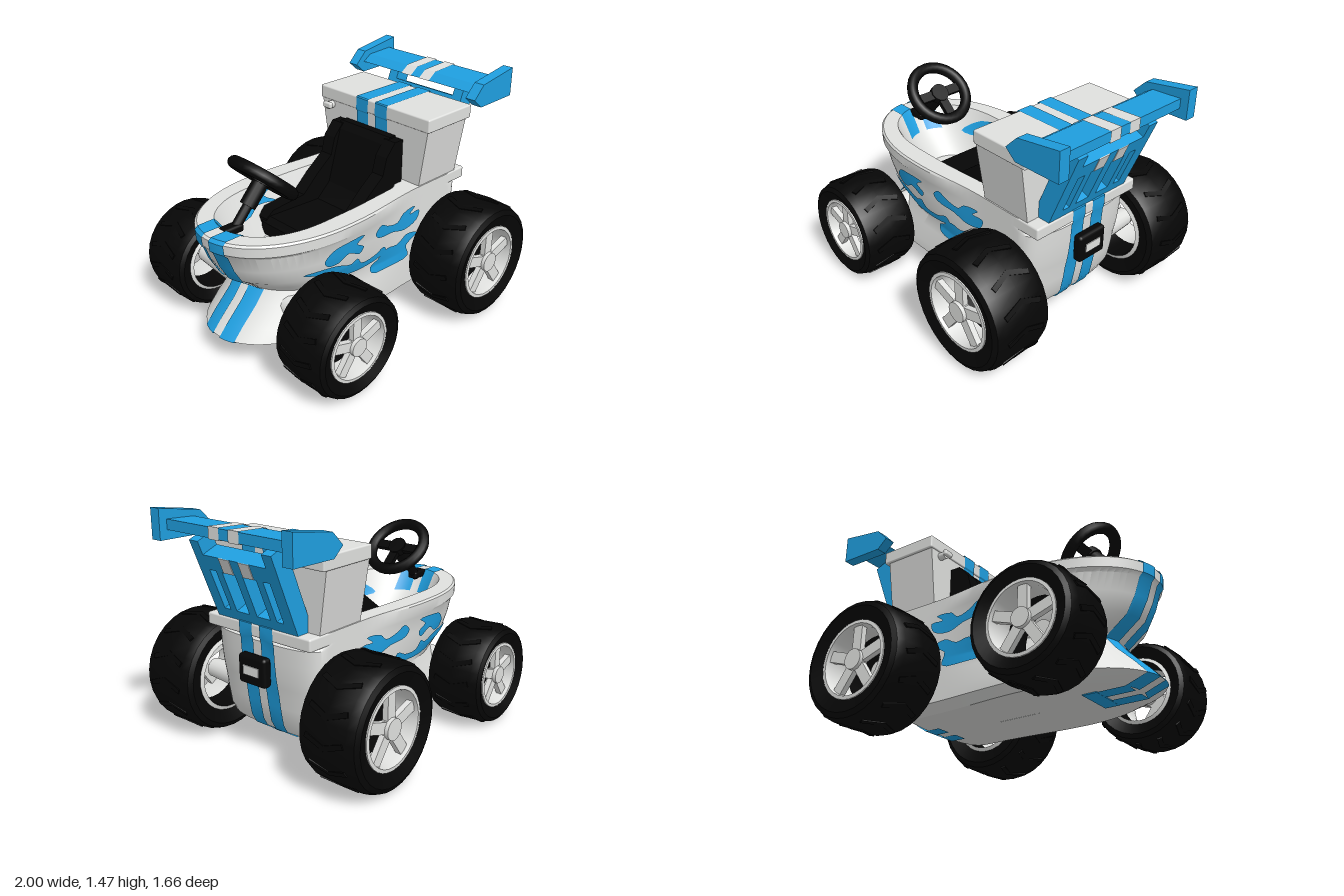
import * as THREE from 'three';
import { toCreasedNormals } from 'three/addons/utils/BufferGeometryUtils.js';
import { RoundedBoxGeometry } from 'three/addons/geometries/RoundedBoxGeometry.js';

const paint = (name, color) => {
  const m = new THREE.MeshStandardMaterial({ color, side: THREE.DoubleSide });
  m.name = name;
  return m;
};

// Hull rings from bottom to rim: [y, nose x, rear x, half width]
const OUTER = [
  [0.14, -0.85, 0.56, 0.36], [0.185, -0.975, 0.635, 0.42], [0.25, -0.91, 0.67, 0.42], [0.36, -0.80, 0.69, 0.395],
  [0.44, -0.74, 0.70, 0.385], [0.49, -0.80, 0.71, 0.40], [0.55, -0.88, 0.72, 0.415], [0.65, -0.935, 0.73, 0.43],
  [0.75, -0.97, 0.735, 0.44], [0.77, -0.99, 0.70, 0.45], [0.83, -0.995, 0.70, 0.45], [0.842, -0.98, 0.69, 0.44],
];
// Flat underside, from the middle outwards
const UNDERSIDE = [[0.14, -0.2, 0.1, 0.001], [0.14, -0.83, 0.54, 0.345]];
// Basin rings from rim down to floor
const INNER = [[0.842, -0.88, 0.28, 0.32], [0.82, -0.865, 0.27, 0.31], [0.70, -0.79, 0.25, 0.265], [0.56, -0.62, 0.2, 0.2]];

// Half width of a ring at x: rounded nose, even width towards a square rear
function halfWidth([, nose, rear, w], x) {
  const s = Math.min(1, Math.max(0, (x - nose) / ((rear - nose) * 0.41)));
  const r = Math.min(1, Math.max(0, (rear - x) / 0.14));
  const rearWidth = w > 0.37 ? 0.4 : w * 0.92;
  return THREE.MathUtils.lerp(w, rearWidth, THREE.MathUtils.smoothstep(x, -0.25, 0.3))
    * Math.sqrt(1 - (1 - s) ** 2.2) * Math.cbrt(1 - (1 - r) ** 3);
}
const noseX = ([, nose, rear, w], z) =>
  nose + (rear - nose) * 0.41 * (1 - (1 - (z / w) ** 2) ** (1 / 2.2));

function ringAt(rings, y) {
  for (let i = 0; i < rings.length - 1; i++) {
    const a = rings[i], b = rings[i + 1], t = (y - a[0]) / (b[0] - a[0]);
    if (t >= 0 && t <= 1) return a.map((v, k) => v + (b[k] - v) * t);
  }
  return rings[rings.length - 1];
}

export function createModel() {
  const root = new THREE.Group();
  root.name = 'bathroomKart';
  const white = paint('porcelain', 0xe0e1df), blue = paint('racingBlue', 0x1f9fe0), black = paint('rubberBlack', 0x060606);

  const add = (name, geo, mat, parent = root, pos = [0, 0, 0]) => {
    const m = new THREE.Mesh(geo, mat);
    m.name = name;
    m.position.set(...pos);
    parent.add(m);
    return m;
  };
  const box = (name, size, pos, mat, parent) => add(name, new THREE.BoxGeometry(...size), mat, parent, pos);
  const rounded = (name, size, r, pos, mat) => add(name, new RoundedBoxGeometry(...size, 2, r), mat, root, pos);

  // Grid surface placed by f(column, row)
  const sheet = (name, nu, nv, f, mat) => {
    const g = new THREE.PlaneGeometry(1, 1, nu, nv), p = g.attributes.position;
    for (let i = 0; i < p.count; i++) p.setXYZ(i, ...f(i % (nu + 1), Math.floor(i / (nu + 1))));
    return add(name, toCreasedNormals(g, 0.5), mat);
  };
  // Pair of stripes along an xy path
  const stripes = (name, path, mat, z0 = 0.03, z1 = 0.13) => {
    for (const s of [-1, 1])
      sheet(name, 1, path.length - 1, (i, j) => [...path[j], s * (i ? z1 : z0)], mat);
  };
  // Side profile extruded from z0 to z1
  const slab = (name, pts, z0, z1, mat) => {
    const shape = new THREE.Shape(pts.map((p) => new THREE.Vector2(...p)));
    return add(name, new THREE.ExtrudeGeometry(shape, { depth: z1 - z0, bevelEnabled: false }), mat, root, [0, 0, z0]);
  };

  // Hull with basin
  const rings = [...UNDERSIDE, ...OUTER, ...INNER, [0.56, -0.2, -0.1, 0.001]];
  const N = 96;
  sheet('hull', N, rings.length - 1, (i, j) => {
    const a = (i / N) * Math.PI * 2, r = rings[j];
    const x = r[1] + (r[2] - r[1]) * (1 - Math.cos(a)) / 2;
    return [x, r[0], (i % N === 0 || i === N / 2 ? 0 : -Math.sign(Math.sin(a))) * halfWidth(r, x)];
  }, white);

  // Nose stripes follow the hull, over the rim and into the basin
  const noseRings = [...OUTER, ...INNER.slice(0, 3)];
  for (const s of [-1, 1])
    sheet('noseStripe', 6, noseRings.length - 1, (i, j) => {
      const z = s * (0.03 + 0.1 * i / 6), r = noseRings[j];
      const a = noseRings[Math.max(0, j - 1)], b = noseRings[Math.min(noseRings.length - 1, j + 1)];
      const n = new THREE.Vector2(a[0] - b[0], b[1] - a[1]).normalize().multiplyScalar(0.007);
      return [noseX(r, z) + n.x, r[0] + n.y, z];
    }, blue);
  // Stripes run on below the foot and join there
  stripes('noseUnderStripe', [[-0.83, 0.134], [-0.58, 0.134]], blue);
  box('noseUnderJoin', [0.09, 0.006, 0.26], [-0.6, 0.136, 0], blue);
  stripes('rearStripe', [[0.46, 0.134], ...OUTER.slice(0, 9).map((r) => [r[2] + 0.007, r[0] - (r[0] < 0.15 ? 0.005 : 0)]),
    [0.75, 0.775], [0.75, 0.846], [0.66, 0.85]], blue);
  sheet('rearStripeJoin', 1, 1, (i, j) => [j ? 0.61 : 0.56, j ? 0.16 : 0.131, i ? 0.032 : -0.032], blue);

  // Flames wrapped on the hull sides
  const flame = (pts, on, offset) => {
    const curve = new THREE.CatmullRomCurve3(pts.map(([x, y]) => new THREE.Vector3(x, y, 0)), true);
    const outline = curve.getPoints(pts.length * 3).slice(0, -1).map((p) => new THREE.Vector2(p.x, p.y));
    let p = [...new THREE.ShapeGeometry(new THREE.Shape(outline)).toNonIndexed().attributes.position.array];
    for (let k = 0; k < 3; k++) {
      const out = [];
      for (let t = 0; t < p.length; t += 9) {
        const [a, b, c] = [0, 3, 6].map((o) => p.slice(t + o, t + o + 3));
        const mid = (u, v) => u.map((w, n) => (w + v[n]) / 2);
        const ab = mid(a, b), bc = mid(b, c), ca = mid(c, a);
        out.push(...[a, ab, ca, ab, b, bc, ca, bc, c, ab, bc, ca].flat());
      }
      p = out;
    }
    for (const s of [-1, 1]) {
      const g = new THREE.BufferGeometry();
      g.setAttribute('position', new THREE.Float32BufferAttribute(p.map((v, i) =>
        i % 3 === 2 ? s * (halfWidth(ringAt(on, p[i - 1]), p[i - 2]) + offset) : v), 3));
      if (s < 0) { // keep the mirrored faces outward
        const q = g.attributes.position;
        g.setIndex(Array.from({ length: q.count }, (_, i) => i - (i % 3) + [0, 2, 1][i % 3]));
      }
      add('flame', toCreasedNormals(g, 1), blue);
    }
  };
  [
    [[-0.5, 0.65], [-0.45, 0.71], [-0.36, 0.73], [-0.21, 0.73], [-0.27, 0.69], [-0.21, 0.65], [-0.24, 0.61], [-0.33, 0.65], [-0.4, 0.61], [-0.47, 0.61]],
    [[-0.62, 0.59], [-0.5, 0.6], [-0.4, 0.59], [-0.3, 0.56], [-0.25, 0.58], [-0.21, 0.53], [-0.1, 0.53], [-0.02, 0.56], [0.01, 0.52], [-0.08, 0.488], [-0.25, 0.48], [-0.36, 0.5], [-0.44, 0.54]],
    [[-0.11, 0.69], [-0.06, 0.73], [0, 0.7], [0.1, 0.68], [0.15, 0.72], [0.27, 0.73], [0.22, 0.69], [0.31, 0.69], [0.29, 0.63], [0.17, 0.6], [0.06, 0.63], [-0.08, 0.65]],
    [[-0.11, 0.45], [-0.06, 0.48], [0.02, 0.53], [0.11, 0.52], [0.2, 0.56], [0.3, 0.53], [0.2, 0.48], [0.22, 0.4], [0.05, 0.385], [-0.1, 0.4]],
  ].forEach((pts) => flame(pts, OUTER, 0.009));
  flame([[-0.62, 0.7], [-0.5, 0.79], [-0.25, 0.82], [-0.36, 0.77], [-0.28, 0.72], [-0.42, 0.73], [-0.5, 0.69]], INNER, -0.009);

  // Tank, shelf, lid and flush handle
  rounded('tankShelf', [0.46, 0.075, 0.8], 0.012, [0.515, 0.806, 0], white);
  const tank = new THREE.BoxGeometry(0.36, 0.39, 0.9), tp = tank.attributes.position;
  for (let i = 0; i < tp.count; i++)
    if (tp.getY(i) < 0) { tp.setZ(i, tp.getZ(i) * 0.87); tp.setX(i, tp.getX(i) * 0.96); }
  tank.computeVertexNormals();
  add('tank', tank, white, root, [0.485, 1.03, 0]);
  rounded('tankLid', [0.4, 0.085, 0.92], 0.01, [0.498, 1.25, 0], white);
  stripes('tankStripe', [[0.305, 0.85], [0.298, 1.2], [0.292, 1.21], [0.292, 1.29], [0.298, 1.297], [0.698, 1.297], [0.704, 1.29],
    [0.704, 1.21], [0.672, 1.2], [0.668, 1.08]], blue);
  const knob = add('flushKnob', new THREE.CylinderGeometry(0.025, 0.025, 0.05, 12), white, root, [0.285, 1.18, -0.36]);
  knob.rotation.z = Math.PI / 2;
  rounded('flushLever', [0.03, 0.04, 0.07], 0.012, [0.255, 1.19, -0.35], white);

  // Seat with side bolsters
  slab('seatCushion', [[-0.44, 0.57], [-0.44, 0.65], [-0.4, 0.68], [0, 0.66], [0.1, 0.75], [0.2, 1.09], [0.24, 1.13], [0.29, 1.13], [0.29, 0.57]], -0.21, 0.21, black);
  for (const s of [-1, 1])
    slab('seatBolster', [[-0.43, 0.57], [-0.43, 0.67], [-0.37, 0.71], [-0.12, 0.73], [0, 0.84], [0.12, 0.93], [0.15, 1.04], [0.22, 1.12], [0.29, 1.12], [0.29, 0.57]],
      s > 0 ? 0.18 : -0.27, s > 0 ? 0.27 : -0.18, black);

  // Steering wheel and column
  const steer = new THREE.Group();
  steer.name = 'steeringWheel';
  steer.position.set(-0.58, 1.06, 0);
  steer.lookAt(-0.58 + 0.67, 1.06 + 0.74, 0);
  root.add(steer);
  add('wheelRing', new THREE.TorusGeometry(0.188, 0.036, 10, 32), black, steer);
  for (const a of [0, Math.PI, -Math.PI / 2])
    box('wheelSpoke', [0.17, 0.06, 0.03], [0.1 * Math.cos(a), 0.1 * Math.sin(a), -0.01], black, steer).rotation.z = a;
  const column = (name, r, len, z) =>
    add(name, new THREE.CylinderGeometry(r, r, len, 12).rotateX(Math.PI / 2), black, steer, [0, 0, z]);
  column('wheelHub', 0.06, 0.05, -0.01);
  column('columnSleeve', 0.05, 0.16, -0.1);
  column('column', 0.03, 0.32, -0.18);
  rounded('columnMount', [0.13, 0.05, 0.07], 0.015, [-0.82, 0.825, 0], black);

  // Rear spoiler frame with slats
  const frame = new THREE.Group();
  frame.name = 'spoilerFrame';
  frame.position.set(0.622, 0.85, 0);
  frame.rotation.set(0, Math.PI / 2, -0.38, 'ZYX');
  root.add(frame);
  const toPts = (a) => a.map((p) => new THREE.Vector2(...p));
  const shape = new THREE.Shape(toPts([[-0.31, 0], [0.31, 0], [0.31, 0.54], [0.24, 0.54], [0.24, 0.455], [-0.24, 0.455], [-0.24, 0.54], [-0.31, 0.54]]));
  for (const [a, b] of [[-0.23, -0.18], [-0.13, -0.03], [0.03, 0.13], [0.18, 0.23]])
    shape.holes.push(new THREE.Path(toPts([[a, 0.1], [a, 0.36], [b, 0.36], [b, 0.1]])));
  add('slattedPanel', new THREE.ExtrudeGeometry(shape, { depth: 0.11, bevelEnabled: false }), blue, frame);
  for (const s of [-1, 1]) box('panelStripe', [0.08, 0.094, 0.006], [s * 0.075, 0.408, 0.111], white, frame);

  // Wing with end plates
  slab('wing', [[0.7, 1.36], [0.76, 1.4], [0.95, 1.41], [0.95, 1.35], [0.78, 1.335]], -0.47, 0.47, blue);
  stripes('wingStripe', [[0.78, 1.33], [0.695, 1.36], [0.758, 1.405], [0.955, 1.415], [0.955, 1.346], [0.78, 1.33]], white, 0.035, 0.115);
  for (const z of [-0.53, 0.46])
    slab('wingEndPlate', [[0.63, 1.35], [0.71, 1.43], [1, 1.475], [1, 1.295], [0.7, 1.29]], z, z + 0.07, blue);

  // Rear exhaust plate
  rounded('exhaustFrame', [0.06, 0.175, 0.21], 0.02, [0.765, 0.585, 0], black);
  box('exhaustInsert', [0.006, 0.055, 0.12], [0.797, 0.585, 0], white);

  // Wheels: open rims with five spokes and shallow chevron treads
  const makeWheel = (R, rim, hw) => {
    const g = new THREE.Group();
    const lathe = (name, pts, mat) =>
      add(name, toCreasedNormals(new THREE.LatheGeometry(toPts(pts), 30).rotateX(Math.PI / 2), 0.5), mat, g);
    lathe('tyre', [[rim, -hw + 0.03], [R * 0.85, -hw], [R * 0.93, -hw + 0.015], [R - 0.008, -hw + 0.06], [R - 0.003, 0],
      [R - 0.008, hw - 0.06], [R * 0.93, hw - 0.015], [R * 0.85, hw], [rim, hw - 0.03]], black);
    lathe('rim', [[rim * 0.87, 0], [rim * 0.87, hw - 0.06], [rim * 0.91, hw - 0.02], [rim, hw - 0.022], [rim, hw - 0.05]], white);
    lathe('innerRim', [[rim * 0.9, -hw + 0.02], [rim, -hw + 0.03]], white);
    lathe('innerBarrel', [[rim * 0.9, -hw + 0.02], [rim * 0.87, 0]], black);
    for (let i = 0; i < 5; i++) {
      const a = i * Math.PI * 0.4 + 0.3, len = rim * 0.9;
      const spoke = box('spoke', [len, rim * 0.28, 0.035], [Math.cos(a) * len / 2, Math.sin(a) * len / 2, hw - 0.06], white, g);
      spoke.rotation.z = a;
    }
    const hub = (name, r0, r1, len, z) =>
      add(name, new THREE.CylinderGeometry(r0, r1, len, 16).rotateX(Math.PI / 2), white, g, [0, 0, z]);
    hub('hubCap', rim * 0.26, rim * 0.26, 0.06, hw - 0.05);
    hub('axle', 0.06, 0.085, hw + 0.18, -hw * 0.5 - 0.12);
    for (let i = 0; i < 14; i++) {
      const block = new THREE.Group();
      block.name = 'treadChevron';
      block.rotation.z = (i / 14) * Math.PI * 2;
      for (const s of [-1, 1])
        box('treadBar', [0.016, 0.03, hw * 0.7], [R - 0.01, 0, s * hw * 0.3], black, block).rotation.x = s * 0.35;
      g.add(block);
    }
    return g;
  };
  for (const s of [-1, 1])
    for (const [name, x, y, z, R, rim, hw] of [['frontWheel', -0.605, 0.333, 0.632, 0.323, 0.21, 0.187], ['rearWheel', 0.54, 0.383, 0.63, 0.376, 0.24, 0.198]]) {
      const w = makeWheel(R, rim, hw);
      w.name = name;
      w.position.set(x, y, s * z);
      if (s < 0) w.rotation.y = Math.PI;
      root.add(w);
    }
  return root;
}
